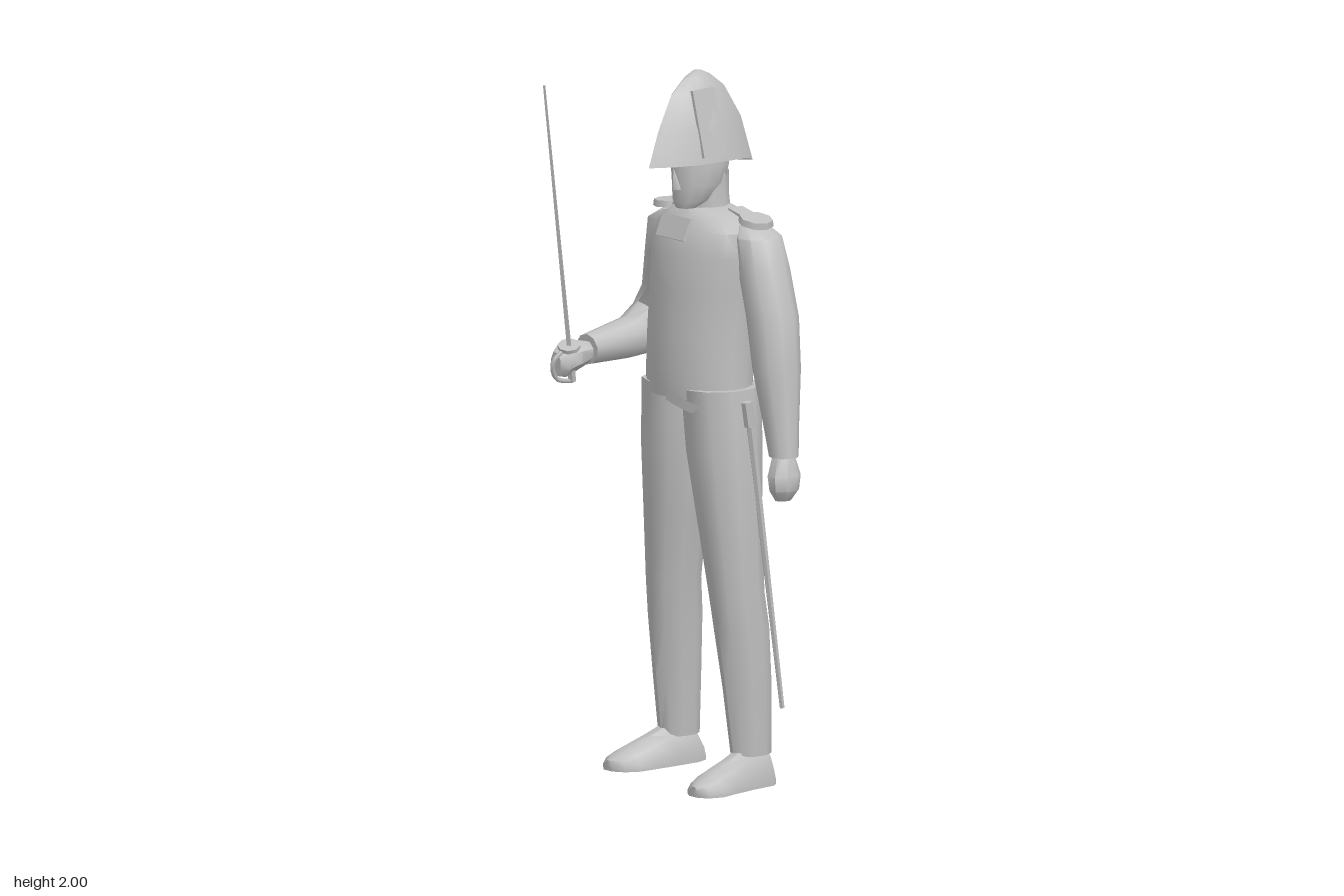
import * as THREE from 'three';
import { toCreasedNormals } from 'three/addons/utils/BufferGeometryUtils.js';

const V = (x, y, z) => new THREE.Vector3(x, y, z);

// Skin closed rings of points into a capped solid, turned to face outward.
function skin(rings) {
  const n = rings[0].length, tris = [];
  const mid = r => r.reduce((s, p) => s.add(p), V(0, 0, 0)).divideScalar(n);
  for (let i = 0; i < rings.length - 1; i++) {
    for (let j = 0; j < n; j++) {
      const k = (j + 1) % n, A = rings[i], B = rings[i + 1];
      tris.push([A[j], A[k], B[k]], [A[j], B[k], B[j]]);
    }
  }
  const first = rings[0], last = rings[rings.length - 1], c0 = mid(first), c1 = mid(last);
  for (let j = 0; j < n; j++) {
    const k = (j + 1) % n;
    tris.push([c0, first[k], first[j]], [c1, last[j], last[k]]);
  }
  const volume = tris.reduce((s, [a, b, c]) => s + a.dot(b.clone().cross(c)), 0);
  if (volume < 0) tris.forEach(t => t.reverse());
  const geo = new THREE.BufferGeometry().setFromPoints(tris.flat());
  return toCreasedNormals(geo, 0.8);
}

// Elliptical sections: [x, y, z, halfWidth, halfDepth, tilt about x].
function loft(rows, n = 10, floor = -1) {
  return skin(rows.map(([x, y, z, a, b, tilt = 0]) =>
    Array.from({ length: n }, (_, i) => {
      const t = (i + 0.5) / n * Math.PI * 2, s = b * Math.sin(t);
      return V(x + a * Math.cos(t), Math.max(floor, y + s * Math.sin(tilt)), z + s * Math.cos(tilt));
    })));
}

// Straight rod between two points.
function rod(a, b, r0, r1, sides) {
  const d = b.clone().sub(a);
  const geo = new THREE.CylinderGeometry(r1, r0, d.length(), sides);
  geo.applyQuaternion(new THREE.Quaternion().setFromUnitVectors(V(0, 1, 0), d.normalize()));
  const m = a.clone().add(b).multiplyScalar(0.5);
  return toCreasedNormals(geo.translate(m.x, m.y, m.z), 0.8);
}

export function createModel() {
  const root = new THREE.Group();
  const grey = new THREE.MeshStandardMaterial({ color: 0xc0c0c0, side: THREE.DoubleSide });
  grey.name = 'plain grey';
  const add = (name, geo) => {
    const mesh = new THREE.Mesh(geo, grey);
    mesh.name = name;
    root.add(mesh);
    return mesh;
  };
  const H = Math.PI / 2;

  // Coat body
  add('coat', loft([
    [-0.01, 1.10, -0.10, 0.176, 0.128], [-0.01, 1.15, -0.10, 0.175, 0.13],
    [-0.01, 1.27, -0.11, 0.176, 0.138], [-0.008, 1.40, -0.125, 0.182, 0.143],
    [-0.005, 1.50, -0.13, 0.19, 0.14], [0, 1.57, -0.13, 0.18, 0.118],
    [-0.005, 1.605, -0.13, 0.135, 0.092], [-0.013, 1.625, -0.125, 0.07, 0.068],
  ], 16));

  // Trousers
  add('rightLeg', loft([
    [-0.09, 1.13, -0.10, 0.095, 0.118], [-0.098, 0.95, -0.10, 0.1, 0.11],
    [-0.12, 0.75, -0.105, 0.085, 0.092], [-0.138, 0.55, -0.112, 0.068, 0.082],
    [-0.147, 0.45, -0.125, 0.064, 0.083], [-0.16, 0.28, -0.142, 0.055, 0.075],
    [-0.167, 0.10, -0.155, 0.048, 0.063],
  ]));
  add('leftLeg', loft([
    [0.085, 1.13, -0.10, 0.1, 0.118], [0.1, 0.95, -0.10, 0.1, 0.11],
    [0.117, 0.75, -0.105, 0.086, 0.092], [0.135, 0.55, -0.115, 0.07, 0.082],
    [0.138, 0.45, -0.13, 0.065, 0.084], [0.142, 0.28, -0.147, 0.055, 0.076],
    [0.143, 0.09, -0.16, 0.046, 0.063],
  ]));

  // Shoes, toes turned slightly out
  for (const [name, x, s, floor, zo] of [['rightShoe', -0.165, -1, 0.02, 0], ['leftShoe', 0.143, 1, 0, -0.015]]) {
    add(name, loft([
      [-0.226, 0.03, 0.05, 0], [-0.19, 0.046, 0.11, 0], [-0.11, 0.052, 0.115, 0.004],
      [-0.05, 0.058, 0.088, 0.01], [0.02, 0.066, 0.06, 0.018], [0.06, 0.05, 0.042, 0.022], [0.08, 0.02, 0.03, 0.024],
    ].map(([z, w, h, out]) => [x + s * out, floor, z + (z > -0.2 ? zo : 0), w, h, H]), 12, floor));
  }

  // Hanging left arm
  add('leftArm', loft([
    [0.155, 1.59, -0.155, 0.03, 0.045], [0.18, 1.56, -0.155, 0.06, 0.07],
    [0.203, 1.47, -0.158, 0.066, 0.076], [0.248, 1.34, -0.152, 0.07, 0.075],
    [0.268, 1.20, -0.15, 0.063, 0.07], [0.296, 1.06, -0.142, 0.05, 0.052],
    [0.314, 0.96, -0.138, 0.043, 0.04],
  ]));
  add('leftHand', loft([
    [0.315, 0.98, -0.135, 0.026, 0.028], [0.328, 0.91, -0.128, 0.042, 0.05],
    [0.332, 0.87, -0.125, 0.036, 0.045], [0.328, 0.84, -0.125, 0.018, 0.025],
  ], 8));

  // Bent right arm
  add('rightArm', loft([
    [-0.16, 1.59, -0.14, 0.03, 0.045], [-0.19, 1.56, -0.148, 0.06, 0.07],
    [-0.213, 1.47, -0.165, 0.064, 0.078], [-0.265, 1.34, -0.195, 0.07, 0.074, 0.15],
    [-0.31, 1.23, -0.195, 0.066, 0.1, 0.8], [-0.313, 1.205, -0.09, 0.058, 0.06, H],
    [-0.307, 1.19, 0.06, 0.048, 0.043, H],
  ]));
  add('rightHand', loft([
    [-0.306, 1.185, 0.05, 0.028, 0.028, H], [-0.31, 1.18, 0.11, 0.05, 0.045, H],
    [-0.305, 1.17, 0.15, 0.042, 0.048, H], [-0.296, 1.165, 0.18, 0.022, 0.035, H],
  ], 8));

  // Drawn sword
  const hilt = V(-0.281, 1.215, 0.145), pommel = V(-0.298, 1.11, 0.12);
  add('swordBlade', rod(hilt, V(-0.175, 1.99, 0.32), 0.008, 0.004, 4));
  add('swordGrip', rod(pommel, hilt, 0.012, 0.012, 6));
  add('swordGuard', rod(V(-0.283, 1.208, 0.143), V(-0.28, 1.218, 0.146), 0.032, 0.032, 8));
  const bow = new THREE.CatmullRomCurve3([pommel, V(-0.295, 1.125, 0.18), V(-0.286, 1.175, 0.197), hilt]);
  add('knuckleBow', new THREE.TubeGeometry(bow, 10, 0.007, 5));

  // Scabbard at the left hip
  add('scabbard', rod(V(0.2, 1.08, -0.105), V(0.2, 0.22, -0.225), 0.012, 0.007, 6));
  add('scabbardMouth', rod(V(0.198, 1.1, -0.1), V(0.2, 1.03, -0.11), 0.016, 0.016, 6));

  // Slanted sword belt
  const beltGeo = new THREE.CylinderGeometry(1, 1, 0.03, 14, 1, true, 0.08, 2.2);
  beltGeo.scale(0.19, 1, 0.137).rotateZ(-0.33);
  add('swordBelt', beltGeo).position.set(0, 1.115, -0.1);

  // Two coat tails, split at the back
  for (const s of [-1, 1]) {
    const geo = new THREE.PlaneGeometry(1, 1, 4, 4), p = geo.attributes.position;
    for (let i = 0; i < p.count; i++) {
      const u = p.getX(i) + 0.5, v = 0.5 - p.getY(i);
      const x = 0.004 + 0.012 * v + u * (0.15 - 0.05 * v);
      p.setXYZ(i, s * x - 0.01, 1.15 - 0.44 * v, -0.237 - 0.018 * v + 3 * x * x * (1 - 0.2 * v));
    }
    geo.computeVertexNormals();
    if (s < 0) {
      geo.setIndex(Array.from(geo.index.array).reverse());
      geo.computeVertexNormals();
    }
    add(s < 0 ? 'rightCoatTail' : 'leftCoatTail', geo);
  }

  // Shoulder boards: round end with a strap toward the neck
  for (const [name, x, z, s, slope] of [['rightEpaulette', -0.19, -0.145, -1, 0.05], ['leftEpaulette', 0.165, -0.16, 1, -0.2]]) {
    const board = new THREE.Group();
    const pad = new THREE.Mesh(new THREE.CylinderGeometry(0.047, 0.05, 0.018, 8), grey);
    const strap = new THREE.Mesh(new THREE.BoxGeometry(0.07, 0.012, 0.05), grey);
    pad.name = 'pad';
    strap.name = 'strap';
    strap.position.x = -s * 0.06;
    board.add(pad, strap);
    board.position.set(x, 1.6, z);
    board.rotation.z = slope;
    board.name = name;
    root.add(board);
  }

  // Collar plate
  const collar = add('collarPlate', new THREE.BoxGeometry(0.12, 0.065, 0.009));
  collar.position.set(-0.01, 1.573, -0.01);
  collar.rotation.x = -0.42;

  // Head
  add('neck', loft([[-0.015, 1.58, -0.13, 0.07, 0.07], [-0.015, 1.66, -0.128, 0.06, 0.065], [-0.015, 1.72, -0.125, 0.06, 0.07]]));
  add('head', loft([
    [-0.012, 1.625, -0.055, 0.03, 0.03], [-0.013, 1.645, -0.075, 0.05, 0.056],
    [-0.014, 1.69, -0.1, 0.064, 0.082], [-0.015, 1.74, -0.106, 0.07, 0.09],
    [-0.016, 1.82, -0.11, 0.066, 0.085],
  ], 12));
  const nose = add('nose', new THREE.ConeGeometry(0.017, 0.06, 4));
  nose.position.set(-0.012, 1.71, -0.016);
  nose.rotation.x = 0.2;

  // Two-cornered hat with pointed lens sections
  const hat = add('bicorneHat', skin([
    [1.755, 0.207, 0.085, 0], [1.85, 0.165, 0.072, -0.005],
    [1.945, 0.105, 0.046, -0.012], [1.985, 0.05, 0.026, -0.014], [2, 0.015, 0.01, -0.015],
  ].map(([y, len, w, x], r) => Array.from({ length: 16 }, (_, i) => {
    const t = i / 16 * Math.PI * 2, c = Math.cos(t), s = Math.sin(t);
    const drop = r === 0 && s < 0 ? 0.035 * s * s : 0;
    return V(x + w * c * Math.abs(c), y - drop, len * s);
  }))));
  hat.position.set(-0.02, 0, -0.113);
  hat.rotation.y = 0.12;

  // Flat panel on the left of the hat
  const panel = add('hatPanel', new THREE.BoxGeometry(0.009, 0.19, 0.085));
  panel.position.set(0.036, 1.865, -0.095);
  panel.rotation.set(0, 0.1, 0.25);

  return root;
}
